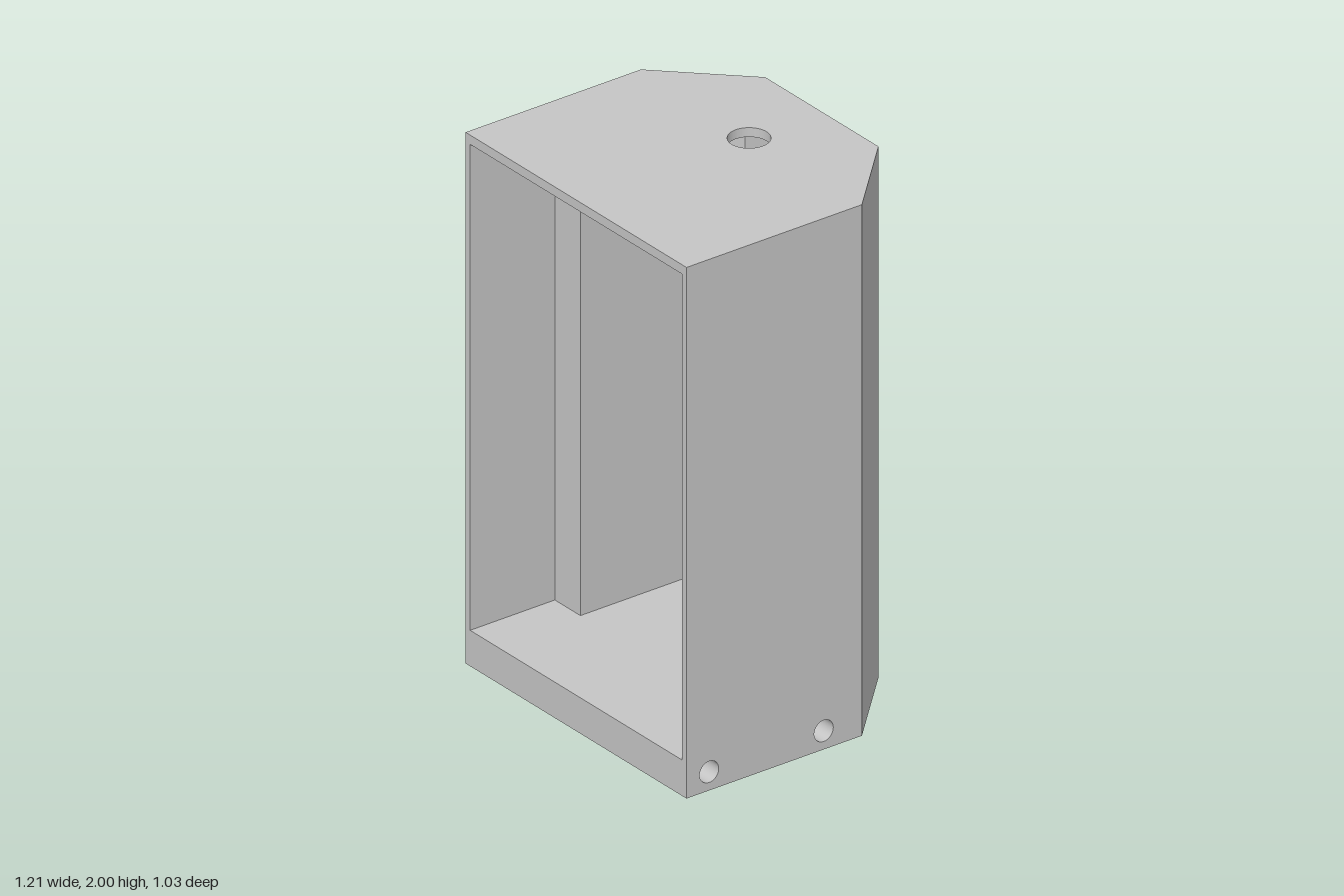
import * as THREE from 'three';

const grey = new THREE.MeshStandardMaterial({ color: 0xc6c6c6 });
grey.name = 'plain grey';

// Main dimensions
const W = 0.605, Z = 0.515, CHAMFER_Z = -0.22, BACK_X = 0.31;
const FLOOR = 0.135, CEILING = 1.965, TOP = 2;
const POCKET_X = 0.235, POCKET_Z = -0.485, INNER_Z = -0.45;

// Flat outline with round holes given as [x, y, radius], extruded along +z
function extrude(points, holes, depth) {
  const shape = new THREE.Shape(points.map(([x, y]) => new THREE.Vector2(x, y)));
  for (const [x, y, r] of holes) shape.holes.push(new THREE.Path().absarc(x, y, r, 0, Math.PI * 2, true));
  return new THREE.ExtrudeGeometry(shape, { depth, bevelEnabled: false, curveSegments: 40 });
}

const rect = (x0, x1, y0, y1) => [[x0, y0], [x1, y0], [x1, y1], [x0, y1]];

// Plan outline in x and z, raised from y0 to y1
function slab(points, y0, y1, holes = []) {
  const g = extrude(points.map(([x, z]) => [x, -z]), holes.map(([x, z, r]) => [x, -z, r]), y1 - y0);
  return g.rotateX(-Math.PI / 2).translate(0, y0, 0);
}

const mirrored = (half) => [...half, ...half.map(([x, z]) => [-x, z]).reverse()];

export function createModel() {
  const group = new THREE.Group();
  group.name = 'cabinet';
  const add = (name, geometry) => {
    const mesh = new THREE.Mesh(geometry, grey);
    mesh.name = name;
    group.add(mesh);
  };

  // Roof with a round hole
  const plan = mirrored([[W, Z], [W, CHAMFER_Z], [BACK_X, -Z]]);
  add('roof', slab(plan, CEILING, TOP, [[0, -0.21, 0.073]]));

  // Thick base: a core, plus side blocks with blind screw holes
  const coreX = 0.455, coreZ = CHAMFER_Z - (W - coreX);
  add('baseCore', slab(mirrored([[coreX, Z], [coreX, coreZ], [BACK_X, -Z]]), 0, FLOOR));

  for (const [side, s] of [['left', 1], ['right', -1]]) {
    const block = extrude(rect(-Z, -CHAMFER_Z, 0, FLOOR), [[-0.42, 0.07, 0.04], [0.06, 0.07, 0.04]], W - coreX);
    block.rotateY(Math.PI / 2).translate(s > 0 ? coreX : -W, 0, 0);
    add(side + 'BaseBlock', block);
    add(side + 'BaseWedge', slab([[s * W, CHAMFER_Z], [s * coreX, CHAMFER_Z], [s * coreX, coreZ]], 0, FLOOR));

    // Side wall: thin at the front, stepped inward, then following the rear chamfer
    const wall = [
      [W, Z], [W, CHAMFER_Z], [BACK_X, -Z], [POCKET_X, -Z], [POCKET_X, INNER_Z],
      [0.335, INNER_Z], [0.44, -0.345], [0.44, 0.16], [0.58, 0.16], [0.58, Z],
    ].map(([x, z]) => [s * x, z]);
    add(side + 'Wall', slab(wall, FLOOR, CEILING));
  }

  // Thin rear panel with the cable hole
  const rear = extrude(rect(-POCKET_X, POCKET_X, FLOOR, CEILING), [[0, 1.042, 0.088]], POCKET_Z + Z);
  add('rearPanel', rear.translate(0, 0, -Z));

  // Raised parts of the rear wall below and above the recessed pocket
  for (const [name, y0, y1] of [['lowerRearPad', FLOOR, 0.355], ['upperRearPad', 1.73, CEILING]]) {
    add(name, extrude(rect(-POCKET_X, POCKET_X, y0, y1), [], INNER_Z - POCKET_Z).translate(0, 0, POCKET_Z));
  }

  return group;
}
